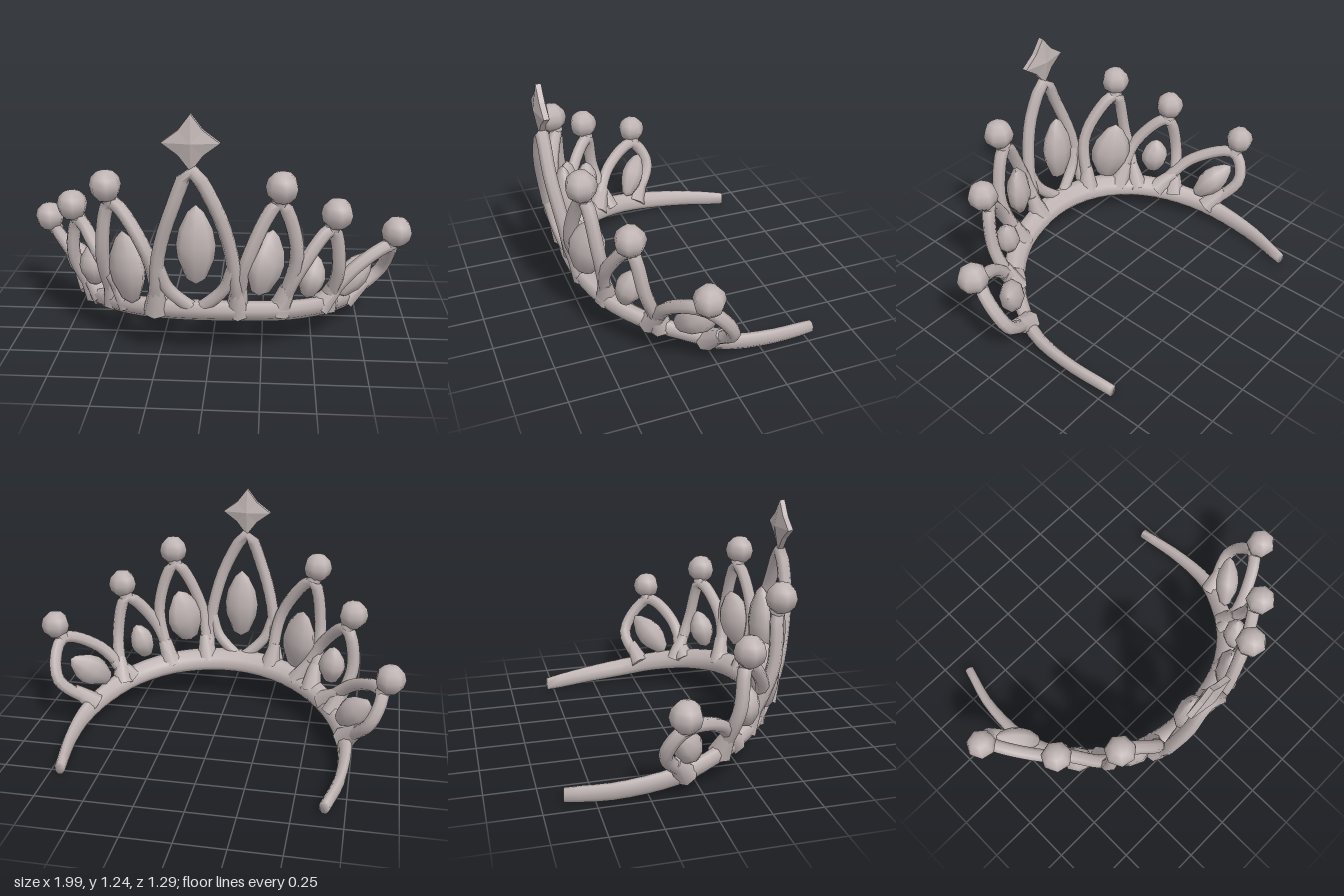
import * as THREE from 'three';

const metal = new THREE.MeshStandardMaterial({ color: 0xbfb3b3 });
metal.name = 'pale metal';

const V = (p) => new THREE.Vector3(...p);

// Centre line of the open head band, from the right end round the front to the left end
const bandPath = new THREE.CatmullRomCurve3([
  [-0.65, 0.047, -0.64], [-0.71, 0.068, -0.4], [-0.71, 0.11, -0.1], [-0.65, 0.15, 0.08],
  [-0.53, 0.195, 0.26], [-0.36, 0.228, 0.4], [-0.18, 0.248, 0.47], [0, 0.255, 0.49],
  [0.18, 0.248, 0.47], [0.36, 0.228, 0.41], [0.53, 0.195, 0.28], [0.65, 0.15, 0.1],
  [0.71, 0.108, -0.05], [0.72, 0.077, -0.28], [0.69, 0.05, -0.54],
].map(V));

function add(parent, name, geometry) {
  const mesh = new THREE.Mesh(geometry, metal);
  mesh.name = name;
  parent.add(mesh);
  return mesh;
}

// Oval section swept along the band path, leaning outwards at the top, thinner towards the ends
function bandGeometry() {
  const rings = 40, sides = 8, pos = [], index = [];
  const up = new THREE.Vector3(0, 1, 0);
  for (let i = 0; i <= rings; i++) {
    const u = i / rings;
    const p = bandPath.getPointAt(u);
    const t = bandPath.getTangentAt(u).setY(0).normalize();
    const s = new THREE.Vector3().crossVectors(up, t);
    const k = Math.sin(Math.PI * u);
    const w = 0.027 + 0.035 * k * k, h = 0.036 + 0.022 * Math.sqrt(Math.max(k, 0));
    // The side axis points inwards or outwards with the travel direction, so test it against the centre
    const lean = Math.sign(s.x * p.x + s.z * p.z) * 0.02 * k;
    for (let j = 0; j < sides; j++) {
      const a = ((j + 0.5) / sides) * Math.PI * 2;
      const q = p.clone()
        .addScaledVector(s, w * Math.cos(a) + lean * Math.sin(a))
        .addScaledVector(up, h * Math.sin(a));
      pos.push(q.x, q.y, q.z);
    }
  }
  for (let i = 0; i < rings; i++) {
    for (let j = 0; j < sides; j++) {
      const a = i * sides + j, b = i * sides + (j + 1) % sides;
      index.push(a, b, a + sides, b, b + sides, a + sides);
    }
  }
  const last = rings * sides;
  for (let j = 1; j < sides - 1; j++) {
    index.push(0, j + 1, j, last, last + j, last + j + 1);
  }
  const g = new THREE.BufferGeometry();
  g.setAttribute('position', new THREE.Float32BufferAttribute(pos, 3));
  g.setIndex(index);
  g.computeVertexNormals();
  return g;
}

// Round strand bent through a few points
function strand(parent, points, radius = 0.035) {
  const curve = new THREE.CatmullRomCurve3(points);
  add(parent, 'archStrand', new THREE.TubeGeometry(curve, 24, radius, 7));
}

// Flared root where a strand grows out of the band
function root(parent, foot, towards) {
  const dir = towards.clone().sub(foot).normalize();
  const mesh = add(parent, 'strandRoot', new THREE.CylinderGeometry(0.032, 0.062, 0.15, 7));
  mesh.position.copy(foot).addScaledVector(dir, 0.07);
  mesh.quaternion.setFromUnitVectors(new THREE.Vector3(0, 1, 0), dir);
}

// Pointed oval stone, flattened front to back
function gem(parent, [x, y, z, halfWidth, halfHeight, roll]) {
  const profile = [[0, -1], [0.5, -0.85], [0.92, -0.35], [1, 0], [0.85, 0.4], [0.42, 0.82], [0, 1]]
    .map(([r, h]) => new THREE.Vector2(r, h));
  const mesh = add(parent, 'gem', new THREE.LatheGeometry(profile, 8));
  mesh.scale.set(halfWidth, halfHeight, 0.065);
  mesh.position.set(x, y, z);
  mesh.rotation.set(0, Math.abs(x) > 0.1 ? Math.sign(x) * 0.7 : 0, roll, 'YXZ');
}

// Four-pointed star with a raised middle on both faces
function starGeometry() {
  const pos = [], rim = [];
  for (let i = 0; i < 8; i++) {
    const r = i % 2 ? 0.08 : 0.132;
    const a = (i / 8) * Math.PI * 2;
    rim.push([r * Math.cos(a), r * Math.sin(a)]);
  }
  const edge = 0.014, mid = 0.036;
  for (let i = 0; i < 8; i++) {
    const [ax, ay] = rim[i], [bx, by] = rim[(i + 1) % 8];
    pos.push(0, 0, mid, ax, ay, edge, bx, by, edge);
    pos.push(0, 0, -mid, bx, by, -edge, ax, ay, -edge);
    pos.push(ax, ay, edge, ax, ay, -edge, bx, by, -edge);
    pos.push(ax, ay, edge, bx, by, -edge, bx, by, edge);
  }
  const g = new THREE.BufferGeometry();
  g.setAttribute('position', new THREE.Float32BufferAttribute(pos, 3));
  g.computeVertexNormals();
  return g;
}

// Side arch: rises from two feet on the band, over two shoulders, to an apex under the ball
function sideArch(parent, name, { ball, feet, shoulders, stone }) {
  const group = new THREE.Group();
  group.name = name;
  parent.add(group);
  const top = V(ball);
  const apex = new THREE.Vector3(top.x * 0.96, top.y - 0.08, top.z * 0.97);
  const [footA, footB] = feet.map((station) => bandPath.getPoint(station / 14));
  const [shoulderA, shoulderB] = shoulders.map(V);
  strand(group, [footA, shoulderA, apex, shoulderB, footB]);
  root(group, footA, shoulderA);
  root(group, footB, shoulderB);
  strand(group, [apex, top], 0.04);
  add(group, 'ball', new THREE.SphereGeometry(0.079, 7, 6)).position.copy(top);
  gem(group, stone);
}

// Tall centre arch: outer legs, a curved V below the large gem, and the star
function centreArch(parent) {
  const group = new THREE.Group();
  group.name = 'centreArch';
  parent.add(group);
  const apex = new THREE.Vector3(-0.08, 0.985, 0.605);
  const side = (s, points) => points.map(([d, y, z]) => new THREE.Vector3(-0.065 + s * d, y, z));
  const leg = [[0.1, 0.81, 0.605], [0.17, 0.58, 0.572], [0.19, 0.4, 0.54], [0.2, 0.25, 0.485]];
  const vee = [[0.175, 0.5, 0.56], [0.135, 0.39, 0.54], [0.06, 0.31, 0.52], [-0.02, 0.25, 0.5]];
  strand(group, [...side(-1, leg).reverse(), apex, ...side(1, leg)]);
  for (const s of [-1, 1]) {
    const [, , knee, foot] = side(s, leg);
    root(group, foot, knee);
    strand(group, side(s, vee), 0.032);
  }
  gem(group, [-0.065, 0.6, 0.515, 0.095, 0.2, 0]);
  add(group, 'star', starGeometry()).position.set(-0.077, 1.118, 0.605);
}

export function createModel() {
  const tiara = new THREE.Group();
  tiara.name = 'tiara';
  add(tiara, 'band', bandGeometry());
  centreArch(tiara);

  // Feet are stations along the band; stone is x, y, z, half width, half height, roll
  sideArch(tiara, 'rightInnerArch', {
    ball: [-0.495, 0.865, 0.455], feet: [4.2, 5.65],
    shoulders: [[-0.53, 0.52, 0.41], [-0.3, 0.56, 0.52]],
    stone: [-0.41, 0.44, 0.42, 0.115, 0.185, 0.16],
  });
  sideArch(tiara, 'leftInnerArch', {
    ball: [0.335, 0.895, 0.53], feet: [8.85, 7.7],
    shoulders: [[0.41, 0.56, 0.48], [0.175, 0.54, 0.555]],
    stone: [0.265, 0.51, 0.495, 0.11, 0.165, -0.25],
  });
  sideArch(tiara, 'rightMiddleArch', {
    ball: [-0.71, 0.69, 0.225], feet: [3.2, 4.7],
    shoulders: [[-0.725, 0.41, 0.18], [-0.55, 0.46, 0.35]],
    stone: [-0.61, 0.38, 0.25, 0.08, 0.11, 0.1],
  });
  sideArch(tiara, 'leftMiddleArch', {
    ball: [0.6, 0.725, 0.385], feet: [10.3, 8.8],
    shoulders: [[0.62, 0.42, 0.32], [0.43, 0.47, 0.455]],
    stone: [0.49, 0.39, 0.36, 0.07, 0.11, -0.3],
  });
  sideArch(tiara, 'rightOuterArch', {
    ball: [-0.92, 0.5, -0.135], feet: [2.1, 3.65],
    shoulders: [[-0.84, 0.29, -0.205], [-0.75, 0.36, 0.07]],
    stone: [-0.75, 0.275, -0.08, 0.08, 0.14, 0.85],
  });
  sideArch(tiara, 'leftOuterArch', {
    ball: [0.92, 0.55, 0.13], feet: [11.45, 10.05],
    shoulders: [[0.87, 0.29, -0.02], [0.71, 0.39, 0.235]],
    stone: [0.72, 0.305, 0.1, 0.085, 0.145, -0.9],
  });
  return tiara;
}
